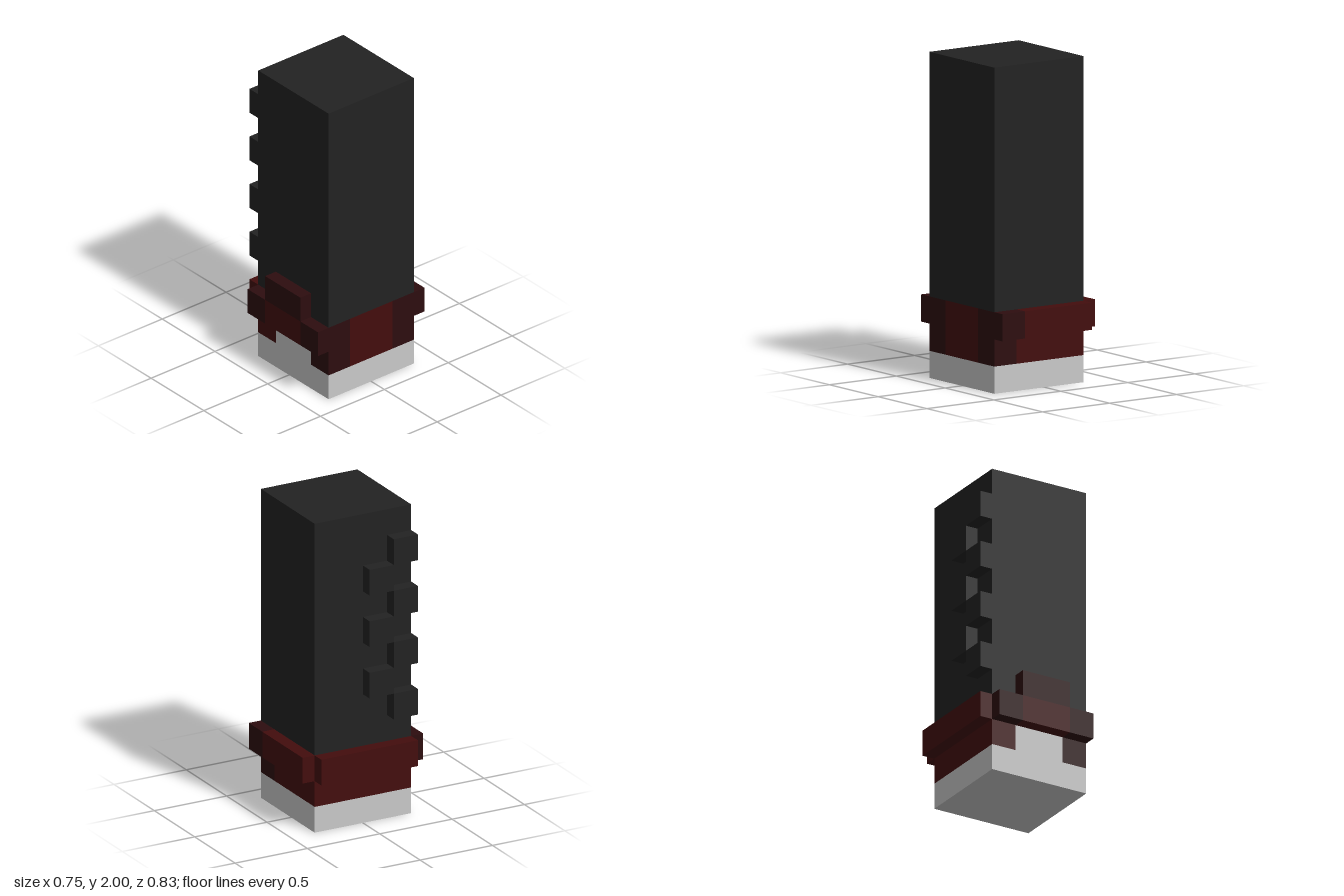
import * as THREE from 'three';

const U = 1 / 12; // one grid cell

export function createModel() {
  const model = new THREE.Group();
  model.name = 'blockTower';

  const make = (name, color) => {
    const m = new THREE.MeshStandardMaterial({ color });
    m.name = name;
    return m;
  };
  const black = make('charcoal', 0x222222);
  const red = make('deepRed', 0x430d0d);
  const darkRed = make('darkMaroon', 0x2d0d0f);
  const pale = make('paleGrey', 0xc9c9c9);

  // Box between two corners, given in grid cells
  const block = (name, mat, [x0, x1], [y0, y1], [z0, z1]) => {
    const geo = new THREE.BoxGeometry((x1 - x0) * U, (y1 - y0) * U, (z1 - z0) * U);
    geo.translate((x0 + x1) / 2 * U, (y0 + y1) / 2 * U, (z0 + z1) / 2 * U);
    const mesh = new THREE.Mesh(geo, mat);
    mesh.name = name;
    model.add(mesh);
  };

  // Column and foot
  block('column', black, [-3.5, 4.5], [6, 24], [-4, 4]);
  block('foot', pale, [-3.5, 4.5], [0, 2], [-4, 4]);

  // Red band flush with the column, with a pale notch in front
  block('bandLeftCorner', darkRed, [2.5, 4.5], [2, 6], [2, 4]);
  block('bandLeftMiddle', red, [2.5, 4.5], [2, 6], [-2, 2]);
  block('bandLeftBackCorner', darkRed, [2.5, 4.5], [2, 6], [-4, -2]);
  block('bandCore', red, [-1.5, 2.5], [2, 6], [-4, 2]);
  block('bandRight', red, [-3.5, -1.5], [2, 6], [-4, 4]);
  block('frontNotch', pale, [-1.5, 2.5], [2, 4], [2, 4]);

  // Raised front trim
  block('frontTrimRight', darkRed, [-3.5, -1.5], [4, 6], [4, 5]);
  block('frontTrimMiddle', red, [-1.5, 2.5], [4, 6], [4, 5]);
  block('frontTrimLeft', darkRed, [2.5, 4.5], [4, 6], [4, 5]);
  block('frontTrimCrest', darkRed, [-1.5, 2.5], [6, 8], [4, 5]);

  // Raised back and side trim
  block('backTrim', red, [-3.5, 2.5], [4, 6], [-5, -4]);
  block('backTrimEnd', darkRed, [2.5, 4.5], [4, 6], [-5, -4]);
  block('sideTrim', red, [-4.5, -3.5], [4, 6], [-4, 4]);

  // Staggered studs up the side
  for (let i = 0; i < 7; i++) {
    const z = i % 2 ? 0 : 2;
    block('sideStud', black, [-4.5, -3.5], [8 + 2 * i, 10 + 2 * i], [z, z + 2]);
  }
  return model;
}
